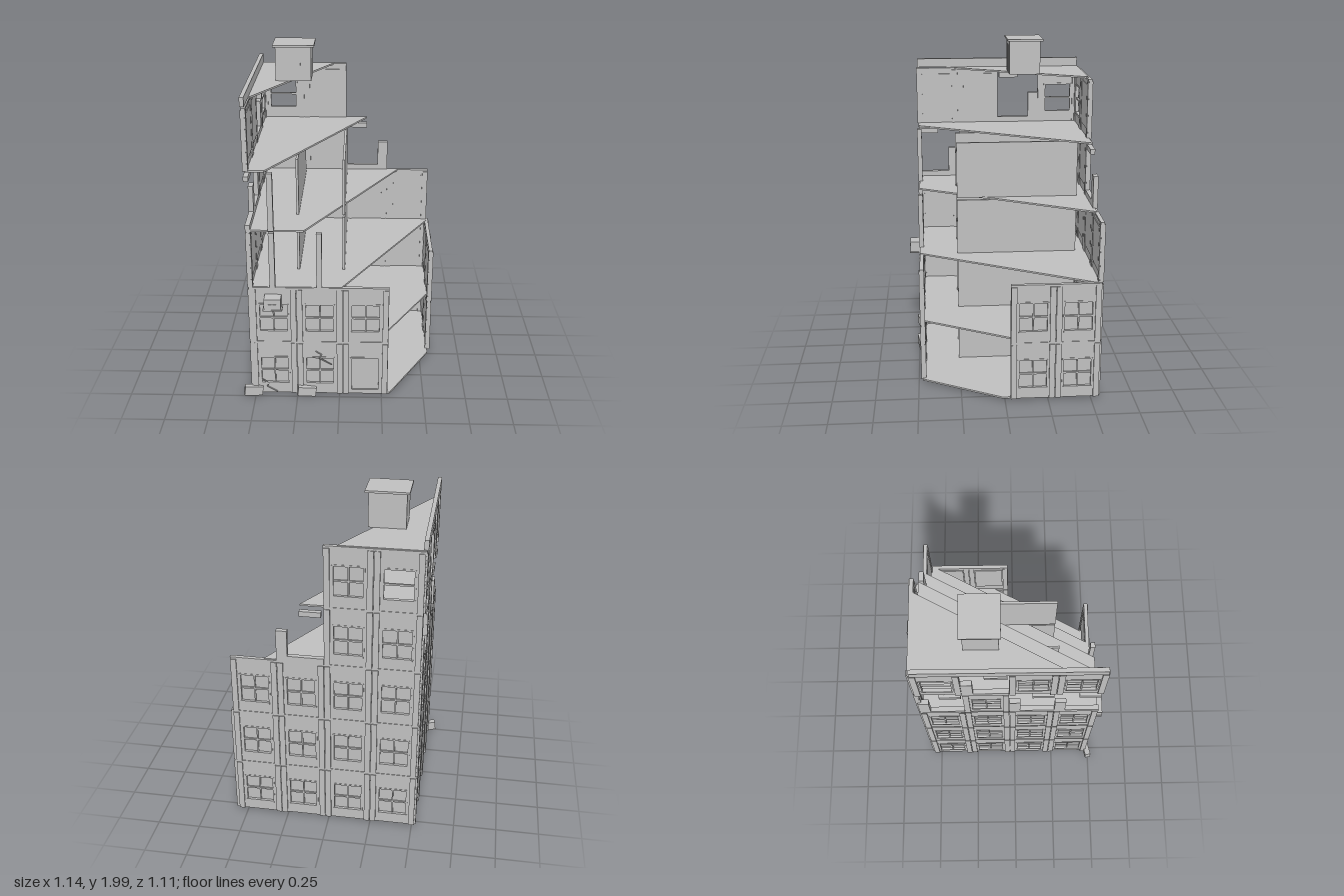
import * as THREE from 'three';

const grey = new THREE.MeshStandardMaterial({ color: 0xc0c0c0 });
grey.name = 'concrete grey';

const STOREY = 0.3525, BASE = 0.025, WALL_H = 0.34;

function box(parent, name, x0, x1, y0, y1, z0, z1) {
  const m = new THREE.Mesh(new THREE.BoxGeometry(x1 - x0, y1 - y0, z1 - z0), grey);
  m.position.set((x0 + x1) / 2, (y0 + y1) / 2, (z0 + z1) / 2);
  m.name = name;
  parent.add(m);
  return m;
}

// Wall panel with a rectangular opening
function panel(parent, w, y0, y1, half) {
  const s = new THREE.Shape();
  s.moveTo(-w / 2, 0).lineTo(w / 2, 0).lineTo(w / 2, WALL_H).lineTo(-w / 2, WALL_H).closePath();
  const h = new THREE.Path();
  h.moveTo(-half, y0).lineTo(-half, y1).lineTo(half, y1).lineTo(half, y0).closePath();
  s.holes.push(h);
  const g = new THREE.ExtrudeGeometry(s, { depth: 0.016, bevelEnabled: false });
  const m = new THREE.Mesh(g, grey);
  m.position.z = -0.024;
  m.name = 'wallPanel';
  parent.add(m);
}

// One bay: local x runs along the wall, z = 0 is the outer face
function bay(w, kind) {
  const g = new THREE.Group();
  g.name = kind + 'Bay';
  const e = w / 2;
  if (kind === 'broken') {
    box(g, 'brokenSill', -e, e, 0, 0.035, -0.028, 0);
    box(g, 'brokenJamb', -e, -e + 0.062, 0.035, 0.19, -0.028, 0);
    box(g, 'brokenLintel', 0, 0.12, 0.288, 0.318, -0.028, 0);
    return g;
  }
  const door = kind === 'door';
  const y0 = door ? 0.025 : 0.065, y1 = 0.245, half = 0.084;
  panel(g, w, y0, y1, half);
  for (const s of [-1, 1]) {
    const x = s * (e - 0.018);
    box(g, 'pilaster', x - 0.0165, x + 0.0165, 0, WALL_H, -0.03, 0);
    box(g, 'sideFrame', s * half - 0.005, s * half + 0.005, y0, y1, -0.026, -0.006);
  }
  box(g, 'bandCourse', -e, e, WALL_H, STOREY, -0.028, -0.005);
  box(g, 'frameTop', -half, half, y1 - 0.006, y1 + 0.004, -0.026, -0.006);
  if (door) {
    box(g, 'doorLeaf', -half, half, y0, y1, -0.024, -0.017);
    box(g, 'doorStile', -0.034, -0.03, y0 + 0.01, y1 - 0.02, -0.02, -0.015);
    return g;
  }
  const mid = (y0 + y1) / 2;
  box(g, 'sill', -half, half, y0 - 0.008, y0 + 0.005, -0.026, -0.004);
  box(g, 'crossBar', -half, half, mid - 0.005, mid + 0.005, -0.022, -0.01);
  if (kind === 'open') return g;
  box(g, 'mullion', -0.004, 0.004, y0, y1, -0.022, -0.011);
  box(g, 'windowPane', -half, half, y0, y1, -0.024, -0.019);
  // Inner blind
  box(g, 'innerBlind', -0.09, 0.09, 0.055, 0.315, -0.029, -0.024);
  return g;
}

// Outer face position, rotation, first bay centre and pitch of each wall
const walls = {
  front: { rot: 0, at: 0.485, start: -0.382, pitch: 0.267 },
  back: { rot: Math.PI, at: -0.555, start: -0.382, pitch: 0.267 },
  left: { rot: -Math.PI / 2, at: -0.525, start: -0.4165, pitch: 0.257 },
  right: { rot: Math.PI / 2, at: 0.57, start: -0.4165, pitch: 0.257 },
};
// Bays per storey: w window, d door, o open window, b broken
const plan = {
  front: ['wwd', 'www', '', '', ''],
  back: ['wwww', 'wwww', 'wwww', 'wwb', 'ow'],
  left: ['wwww', 'wwww', 'wwww', 'bwbb', 'obww'],
  right: ['ww', 'ww', '', '', ''],
};
const kinds = { w: 'window', d: 'door', o: 'open', b: 'broken' };

// Floor slab cut off along a diagonal x = c - 0.55 z
function slab(parent, name, y, c) {
  const X0 = -0.515, X1 = 0.552, Z0 = -0.54, Z1 = 0.476, k = 0.55;
  const pts = [[X0, Z0]];
  if (c - k * Z0 < X1) pts.push([c - k * Z0, Z0]);
  else pts.push([X1, Z0], [X1, (c - X1) / k]);
  if (c - k * Z1 > X0) pts.push([c - k * Z1, Z1], [X0, Z1]);
  else pts.push([X0, (c - X0) / k]);
  const s = new THREE.Shape(pts.map(([x, z]) => new THREE.Vector2(x, -z)));
  const g = new THREE.ExtrudeGeometry(s, { depth: 0.01, bevelEnabled: false });
  g.rotateX(-Math.PI / 2);
  const m = new THREE.Mesh(g, grey);
  m.position.y = y;
  m.name = name;
  parent.add(m);
}

// Zigzag crack made of thin strips on the front wall
function crack(parent, pts) {
  for (let i = 0; i < pts.length - 1; i++) {
    const [ax, ay] = pts[i], [bx, by] = pts[i + 1];
    const m = new THREE.Mesh(new THREE.BoxGeometry(Math.hypot(bx - ax, by - ay), 0.006, 0.006), grey);
    m.position.set((ax + bx) / 2, (ay + by) / 2, 0.485);
    m.rotation.z = Math.atan2(by - ay, bx - ax);
    m.name = 'crack';
    parent.add(m);
  }
}

export function createModel() {
  const model = new THREE.Group();
  model.name = 'ruinedBuilding';

  // Outer walls
  for (const side in plan) {
    const { rot, at, start, pitch } = walls[side];
    const alongX = side === 'front' || side === 'back';
    plan[side].forEach((row, storey) => [...row].forEach((code, i) => {
      const b = bay(pitch, kinds[code]);
      const p = start + i * pitch;
      b.rotation.y = rot;
      b.position.set(alongX ? p : at, BASE + storey * STOREY, alongX ? at : p);
      model.add(b);
    }));
  }

  // Floors and roof, each cut further back than the one below
  [0.56, 0.475, 0.273, 0.063, -0.147, -0.352].forEach((c, i) =>
    slab(model, i === 5 ? 'roofSlab' : 'floorSlab', (i ? 0.018 : 0.022) + i * STOREY, c));

  // Inner partitions
  for (let s = 0; s < 4; s++) {
    const y = BASE + s * STOREY + 0.004;
    for (const x of [-0.247, 0.02]) box(model, 'partition', x - 0.007, x + 0.007, y, y + 0.336, -0.472, 0.25);
  }

  // Remaining front posts
  for (const [x, s] of [[-0.382, 2], [-0.115, 2], [-0.382, 3]]) {
    const y = BASE + s * STOREY;
    box(model, 'frontPost', x - 0.016, x + 0.016, y, y + WALL_H, 0.457, 0.485);
  }

  // Roof parapet and stair house
  box(model, 'parapet', -0.527, -0.503, 1.792, 1.845, -0.537, 0.476);
  box(model, 'stairHouse', -0.385, -0.178, 1.79, 1.99, -0.265, -0.08);
  box(model, 'stairHouseCap', -0.4, -0.16, 1.988, 2, -0.28, -0.068);
  box(model, 'stairHouseDoor', -0.325, -0.24, 1.795, 1.96, -0.08, -0.076);

  // Air conditioner
  const ac = new THREE.Group();
  ac.name = 'airConditioner';
  box(ac, 'unit', -0.428, -0.332, 0.622, 0.686, 0.47, 0.548);
  box(ac, 'shelf', -0.436, -0.324, 0.614, 0.622, 0.47, 0.55);
  for (const x of [-0.393, -0.367]) box(ac, 'vent', x - 0.01, x + 0.01, 0.652, 0.657, 0.547, 0.551);
  model.add(ac);

  // Rubble blocks and cracks
  for (const [x, z, ry, rz] of [[-0.513, 0.488, 0.22, -0.12], [-0.195, 0.488, 0.15, -0.13]]) {
    const m = box(model, 'rubble', x - 0.054, x + 0.054, 0.017, 0.074, z - 0.018, z + 0.018);
    m.rotation.set(0, ry, rz);
  }
  crack(model, [[-0.46, 0.12], [-0.42, 0.093], [-0.43, 0.07], [-0.37, 0.035]]);
  crack(model, [[-0.14, 0.315], [-0.105, 0.293], [-0.118, 0.268], [-0.045, 0.225]]);

  return model;
}
